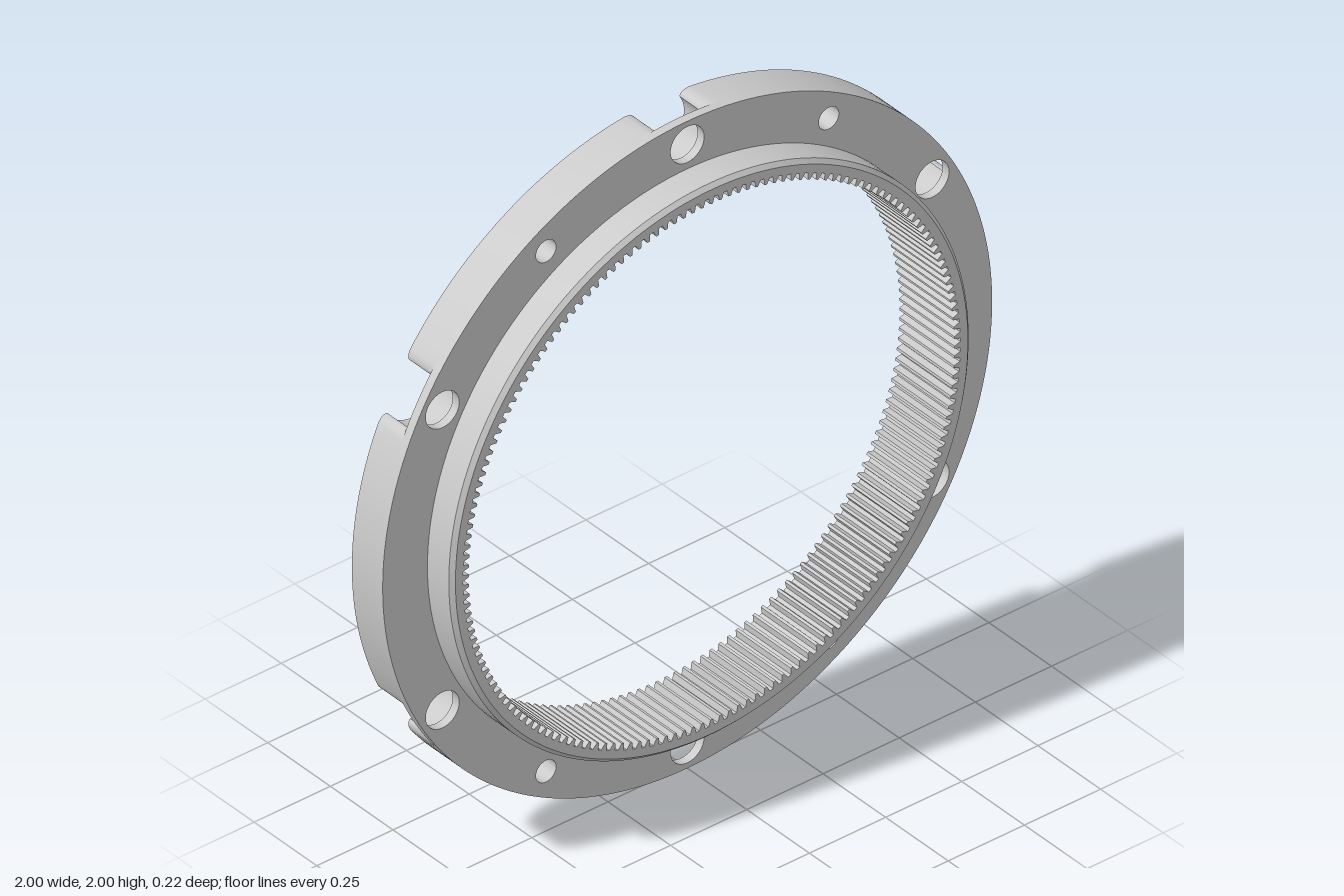
import * as THREE from 'three';
import { toCreasedNormals } from 'three/addons/utils/BufferGeometryUtils.js';

const BACK = -0.11, FLOOR = -0.013, STEP = 0.013, FRONT = 0.11;
const LINER = 0.825, BOLT_CIRCLE = 0.928;
const rad = THREE.MathUtils.degToRad;
const polar = (r, a) => new THREE.Vector2(r * Math.cos(a), r * Math.sin(a));
const circle = (r, c = new THREE.Vector2()) => new THREE.Path().absarc(c.x, c.y, r, 0, Math.PI * 2, true);
const boltAngles = [30, 90, 150, 210, 270, 330].map(rad);
const pinAngles = [60, 120, 240, 300].map(rad);

export function createModel() {
  const group = new THREE.Group();
  const material = new THREE.MeshStandardMaterial({ color: 0xcccccc });
  const add = (name, geometry) => {
    const mesh = new THREE.Mesh(toCreasedNormals(geometry, 0.5), material);
    mesh.name = name;
    mesh.position.y = 1;
    group.add(mesh);
  };
  const extrude = (shape, z0, z1, curveSegments = 48) =>
    new THREE.ExtrudeGeometry(shape, { depth: z1 - z0, bevelEnabled: false, curveSegments }).translate(0, 0, z0);
  const pins = () => pinAngles.map((a) => circle(0.033, polar(BOLT_CIRCLE, a)));
  const ringHole = () => new THREE.Path(circle(LINER).getPoints(180));

  // Front layer of the flange, with bolt and pin holes
  const plate = new THREE.Shape(new THREE.Path().absarc(0, 0, 1, 0, Math.PI * 2).getPoints(180));
  plate.holes = [ringHole(), ...pins(), ...boltAngles.map((a) => circle(0.055, polar(BOLT_CIRCLE, a)))];
  add('flangePlate', extrude(plate, FLOOR, STEP, 32));

  // Back layer: rim interrupted by round pockets that open outwards with rounded lips
  const pocketR = 0.09, neck = 0.075, mouth = 0.105;
  const neckU = BOLT_CIRCLE + Math.sqrt(pocketR ** 2 - neck ** 2);
  const rimU = Math.sqrt(1 - mouth ** 2);
  const lip = new THREE.QuadraticBezierCurve(
    new THREE.Vector2(rimU, -mouth), new THREE.Vector2(0.993, -neck - 0.003), new THREE.Vector2(neckU, -neck)
  ).getPoints(8);
  const start = Math.asin(neck / pocketR);
  const bore = [];
  for (let i = 1; i < 32; i++) {
    const t = -start - (i / 32) * (2 * Math.PI - 2 * start);
    bore.push(new THREE.Vector2(BOLT_CIRCLE + pocketR * Math.cos(t), pocketR * Math.sin(t)));
  }
  const mirroredLip = lip.map((p) => new THREE.Vector2(p.x, -p.y)).reverse();
  const pocket = [...lip, ...bore, ...mirroredLip];
  const half = Math.asin(mouth);
  const outline = [];
  const origin = new THREE.Vector2();
  for (const a of boltAngles) {
    for (const p of pocket) outline.push(p.clone().rotateAround(origin, a));
    for (let i = 1; i < 28; i++) outline.push(polar(1, a + half + (i / 28) * (Math.PI / 3 - 2 * half)));
  }
  const rim = new THREE.Shape(outline);
  rim.holes = [ringHole(), ...pins()];
  add('pocketedRim', extrude(rim, BACK, FLOOR, 32));

  // Raised front collar with a chamfered edge
  const profile = [[0.853, STEP], [0.853, FRONT - 0.012], [0.841, FRONT], [LINER, FRONT]];
  add('frontCollar', new THREE.LatheGeometry(profile.map(([r, z]) => new THREE.Vector2(r, z)), 180).rotateX(Math.PI / 2));

  // Internal gear teeth through the full depth
  const teeth = 168, pitch = (Math.PI * 2) / teeth, root = 0.816, tip = 0.797;
  const gear = [];
  for (let i = 0; i < teeth; i++) {
    for (const [r, f] of [[root, -0.32], [tip, -0.13], [tip, 0.13], [root, 0.32]]) gear.push(polar(r, (i + f) * pitch));
  }
  const liner = new THREE.Shape(new THREE.Path().absarc(0, 0, LINER, 0, Math.PI * 2).getPoints(180));
  liner.holes = [new THREE.Path(gear.reverse())];
  add('internalTeeth', extrude(liner, BACK, FRONT));

  return group;
}
